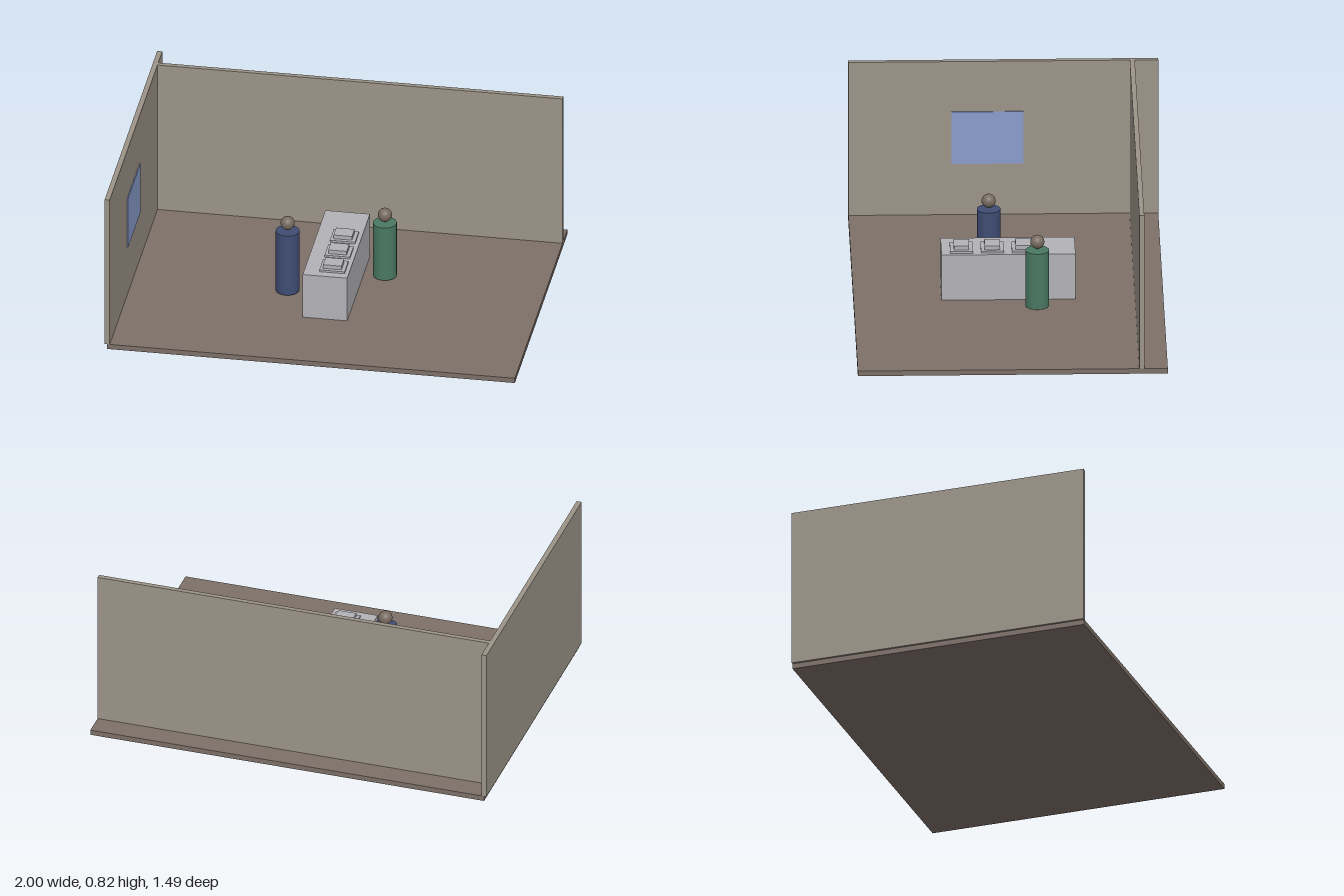
import * as THREE from 'three';

const mat = (name, color) => {
  const m = new THREE.MeshStandardMaterial({ color });
  m.name = name;
  return m;
};

export function createModel() {
  const wallMat = mat('warm grey wall', 0x9c9488);
  const floorMat = mat('brown floor', 0x7d7068);
  const glassMat = mat('window blue', 0x8a9ccc);
  const counterMat = mat('light grey counter', 0xb3b3b7);
  const blueMat = mat('navy clothing', 0x3f4d74);
  const greenMat = mat('green clothing', 0x4a7862);
  const skinMat = mat('brown skin', 0x776b60);

  const model = new THREE.Group();
  model.name = 'shopRoom';

  // Box given by its lower and upper corners
  const box = (name, material, [x0, y0, z0], [x1, y1, z1]) => {
    const mesh = new THREE.Mesh(new THREE.BoxGeometry(x1 - x0, y1 - y0, z1 - z0), material);
    mesh.position.set((x0 + x1) / 2, (y0 + y1) / 2, (z0 + z1) / 2);
    mesh.name = name;
    model.add(mesh);
  };

  // Room shell
  box('floor', floorMat, [-0.988, 0, -0.745], [1, 0.026, 0.745]);
  box('sideWall', wallMat, [-1, 0.026, -0.745], [-0.975, 0.82, 0.745]);
  box('backWall', wallMat, [-0.975, 0.026, -0.632], [1, 0.82, -0.608]);
  box('window', glassMat, [-0.976, 0.29, -0.098], [-0.97, 0.56, 0.25]);

  // Counter with three stepped trays
  box('counter', counterMat, [-0.107, 0.026, -0.322], [0.11, 0.26, 0.322]);
  for (const z of [-0.072, 0.077, 0.225]) {
    box('trayBase', counterMat, [-0.033, 0.26, z - 0.055], [0.09, 0.27, z + 0.055]);
    box('trayTop', counterMat, [-0.018, 0.27, z - 0.037], [0.072, 0.29, z + 0.037]);
  }

  // Simple standing figures: cylinder body, ball head
  const figure = (name, material, x, z, top) => {
    const group = new THREE.Group();
    group.name = name;
    const bottom = 0.038;
    const body = new THREE.Mesh(new THREE.CylinderGeometry(0.057, 0.057, top - bottom, 32), material);
    body.position.y = (top + bottom) / 2;
    body.name = 'body';
    const head = new THREE.Mesh(new THREE.SphereGeometry(0.034, 32, 20), skinMat);
    head.position.y = top + 0.042;
    head.name = 'head';
    group.add(body, head);
    group.position.set(x, 0, z);
    model.add(group);
  };
  figure('clerk', blueMat, -0.221, 0.088, 0.363);
  figure('customer', greenMat, 0.215, -0.136, 0.326);

  return model;
}
